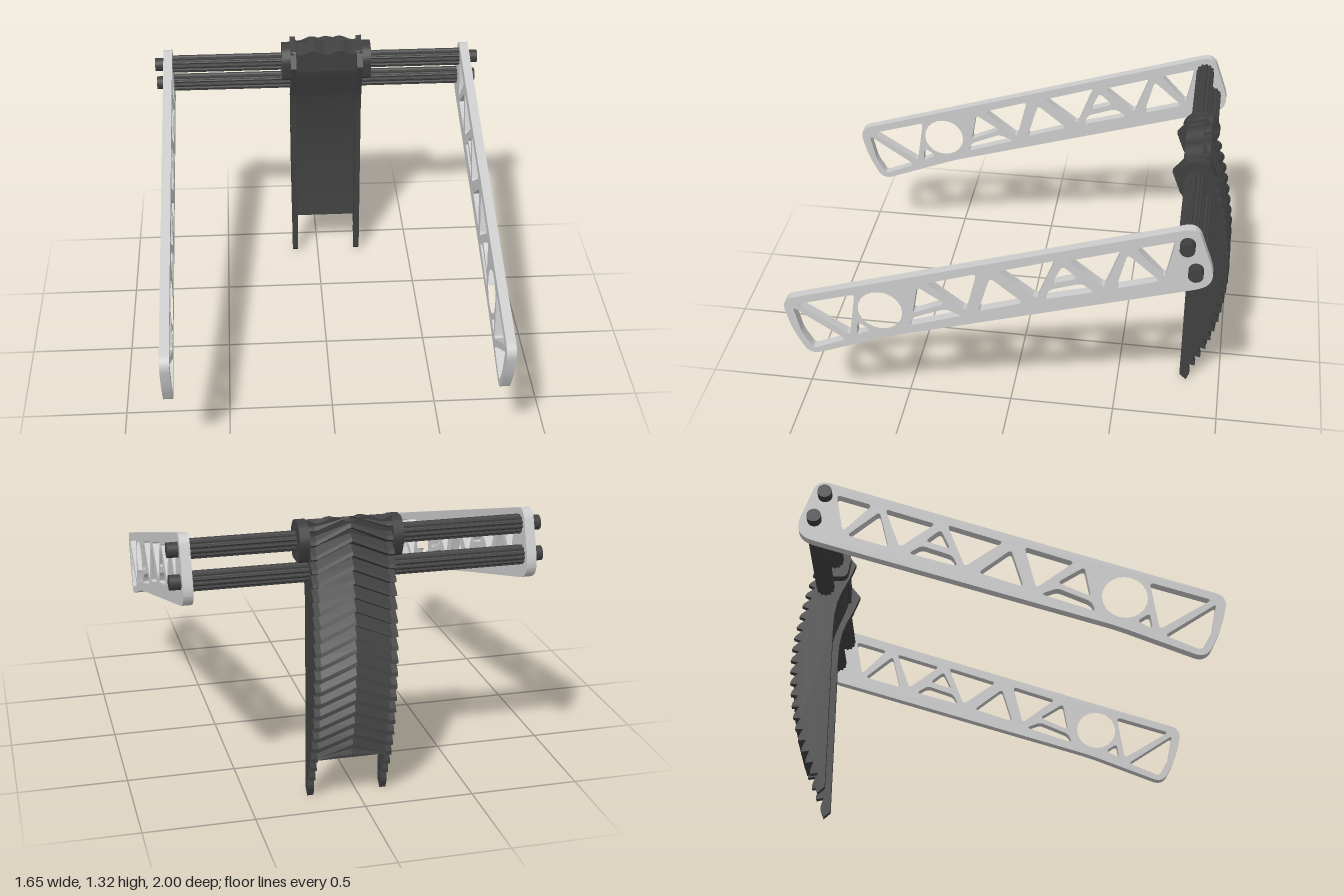
import * as THREE from 'three';
import { toCreasedNormals } from 'three/addons/utils/BufferGeometryUtils.js';

const grey = new THREE.MeshStandardMaterial({ color: 0xcccccc });
const dark = new THREE.MeshStandardMaterial({ color: 0x404040 });
const darkFlat = new THREE.MeshStandardMaterial({ color: 0x404040, flatShading: true, side: THREE.DoubleSide });

const V = (p) => new THREE.Vector2(p[0], p[1]);

// Closed outline with each corner rounded by about r
function rounded(path, pts, r) {
  const v = pts.map(V), n = v.length;
  const toward = (a, b) => {
    const d = b.clone().sub(a);
    return d.setLength(Math.min(r, d.length() * 0.45)).add(a);
  };
  v.forEach((p, i) => {
    const a = toward(p, v[(i + n - 1) % n]), b = toward(p, v[(i + 1) % n]);
    if (i === 0) path.moveTo(a.x, a.y); else path.lineTo(a.x, a.y);
    path.quadraticCurveTo(p.x, p.y, b.x, b.y);
  });
  path.closePath();
  return path;
}

// Extrude a (z, y) outline across x from x0 to x1
function across(shape, x0, x1, crease = 0.5, curveSegments = 5) {
  const g = new THREE.ExtrudeGeometry(shape, { depth: x1 - x0, bevelEnabled: false, curveSegments });
  g.rotateY(-Math.PI / 2).translate(x1, 0, 0);
  return toCreasedNormals(g, crease);
}

// Curved back of the spine in (z, y), from top to bottom, with sawteeth cut into it
const back = new THREE.SplineCurve([
  [-0.865, 1.315], [-0.93, 1.11], [-0.975, 0.895], [-1, 0.69],
  [-0.985, 0.457], [-0.94, 0.254], [-0.85, 0.03],
].map(V));
const TEETH = 22, DEPTH = 0.036, WEB_END = 0.85;

function backPoint(t, depth) {
  const p = back.getPointAt(t), d = back.getTangentAt(t);
  return new THREE.Vector2(p.x - d.y * depth, p.y + d.x * depth);
}

function toothRow(shift, tMax) {
  const row = [];
  for (let i = 0; i <= TEETH; i++) {
    for (const [f, depth] of [[0, DEPTH], [0.6, 0.006], [0.88, 0]]) {
      const t = THREE.MathUtils.clamp((i + f) / TEETH + shift, 0, tMax);
      row.push(backPoint(t, depth));
    }
  }
  return row;
}

// Chevron tread: the middle column of teeth sits higher than the edges
function treadGeometry() {
  const cols = [[-0.112, 0], [0.045, -0.05], [0.202, 0]];
  const pos = [], idx = [];
  cols.forEach(([x, shift]) => toothRow(shift, WEB_END).forEach((p) => pos.push(x, p.y, p.x)));
  const n = pos.length / 9;
  for (let c = 0; c < 2; c++) {
    for (let k = 0; k < n - 1; k++) {
      const a = c * n + k, b = a + n;
      idx.push(a, a + 1, b, b, a + 1, b + 1);
    }
  }
  const g = new THREE.BufferGeometry();
  g.setAttribute('position', new THREE.Float32BufferAttribute(pos, 3));
  g.setIndex(idx);
  g.computeVertexNormals();
  return g;
}

// Truss arm outline and openings, in (z, y)
const armOutline = [[1.012, 0.708], [0.975, 0.55], [0.9, 0.4], [0.51, 0.555], [-0.9, 0.985], [-0.93, 1.05], [-0.845, 1.292]];
const armHoles = [
  [[0.94, 0.69], [0.665, 0.775], [0.7, 0.54]],
  [[0.96, 0.67], [0.72, 0.51], [0.88, 0.44], [0.93, 0.53]],
  [[0.66, 0.62], [0.6, 0.58], [0.67, 0.54]],
  [[0.375, 0.85], [0.25, 0.77], [0.4, 0.7]],
  [[0.4, 0.675], [0.25, 0.74], [0.175, 0.71], [0.42, 0.625]],
  [[0.33, 0.875], [0.105, 0.95], [0.155, 0.74]],
  [[0.045, 0.935], [-0.105, 0.815], [0.1, 0.745]],
  [[0.01, 0.975], [-0.245, 1.06], [-0.165, 0.845]],
  [[-0.275, 1.035], [-0.345, 0.975], [-0.23, 0.935]],
  [[-0.22, 0.9], [-0.36, 0.95], [-0.42, 0.91], [-0.195, 0.845]],
  [[-0.3, 1.065], [-0.53, 1.14], [-0.46, 0.94]],
  [[-0.555, 1.125], [-0.7, 1.0], [-0.51, 0.94]],
  [[-0.59, 1.16], [-0.755, 1.212], [-0.72, 1.02]],
];

function armShape() {
  const s = rounded(new THREE.Shape(), armOutline, 0.06);
  armHoles.forEach((h) => s.holes.push(rounded(new THREE.Path(), h, 0.022)));
  const ring = new THREE.Path();
  ring.absarc(0.551, 0.698, 0.103, 0, Math.PI * 2, true);
  s.holes.push(ring);
  return s;
}

// Lengthwise-grooved rod section
function flutedShape(z, y) {
  const pts = [];
  for (let k = 0; k < 48; k++) {
    const a = (k / 48) * Math.PI * 2, r = k % 4 < 2 ? 0.044 : 0.038;
    pts.push(new THREE.Vector2(z + r * Math.cos(a), y + r * Math.sin(a)));
  }
  return new THREE.Shape(pts);
}

export function createModel() {
  const model = new THREE.Group();
  model.name = 'armRestraint';
  const add = (name, geo, mat) => {
    const m = new THREE.Mesh(geo, mat);
    m.name = name;
    model.add(m);
    return m;
  };

  // Two truss arms
  add('leftArm', across(armShape(), 0.733, 0.777, 0.6, 10), grey);
  add('rightArm', across(armShape(), -0.785, -0.741, 0.6, 10), grey);

  // Cross rods with round end caps
  for (const [name, z, y] of [['upper', -0.807, 1.206], ['lower', -0.85, 1.077]]) {
    add(name + 'Rod', across(flutedShape(z, y), -0.742, 0.734, 0.1), dark);
    for (const [side, x] of [['Left', 0.78], ['Right', -0.785]]) {
      const cap = new THREE.CylinderGeometry(0.033, 0.033, 0.09, 24).rotateZ(Math.PI / 2);
      add(name + side + 'Cap', cap, dark).position.set(x, y, z);
    }
  }

  // Toothed side flanges of the spine
  const flange = new THREE.Shape([
    ...[[-0.81, 1.29], [-0.76, 1.28], [-0.705, 1.21], [-0.735, 1.13], [-0.77, 1.056], [-0.79, 1.0],
      [-0.802, 0.93], [-0.805, 0.85], [-0.805, 0.03], [-0.838, 0]].map(V),
    ...toothRow(0, 1).slice(0, TEETH * 3).reverse(),
    V([-0.865, 1.315]),
  ]);
  add('leftFlange', across(flange, 0.2, 0.229, 0.3), dark);
  add('rightFlange', across(flange, -0.139, -0.11, 0.3), dark);

  // Curved web between the flanges
  const front = new THREE.SplineCurve([
    [-0.75, 1.26], [-0.768, 1.15], [-0.835, 0.95], [-0.872, 0.7], [-0.872, 0.45], [-0.85, 0.22],
  ].map(V)).getPoints(24);
  const rear = [];
  for (let k = 0; k <= 20; k++) rear.push(backPoint(THREE.MathUtils.lerp(WEB_END, 0.02, k / 20), DEPTH + 0.002));
  add('web', across(new THREE.Shape([...front, ...rear]), -0.112, 0.202), dark);
  add('chevronTread', treadGeometry(), darkFlat);

  // Wavy cap, sloping down to the front
  const wave = [V([0.228, 1.2]), V([-0.138, 1.2])];
  for (let k = 0; k <= 30; k++) {
    const x = -0.138 + 0.366 * (k / 30);
    wave.push(new THREE.Vector2(x, 1.303 + 0.011 * Math.cos(((x + 0.025) / 0.14) * Math.PI * 2)));
  }
  const cap = new THREE.ExtrudeGeometry(new THREE.Shape(wave), { depth: 0.115, bevelEnabled: false });
  const p = cap.attributes.position;
  for (let i = 0; i < p.count; i++) p.setY(i, p.getY(i) - p.getZ(i) * 0.25);
  cap.translate(0, 0, -0.865);
  add('topCap', toCreasedNormals(cap, 0.6), dark);

  // Clamp collars around the upper rod, beside the spine
  const collar = rounded(new THREE.Shape(), [
    [-0.725, 1.24], [-0.775, 1.297], [-0.865, 1.294], [-0.91, 1.22], [-0.87, 1.118], [-0.745, 1.118],
  ], 0.03);
  add('leftCollar', across(collar, 0.228, 0.273), dark);
  add('rightCollar', across(collar, -0.183, -0.138), dark);

  return model;
}
